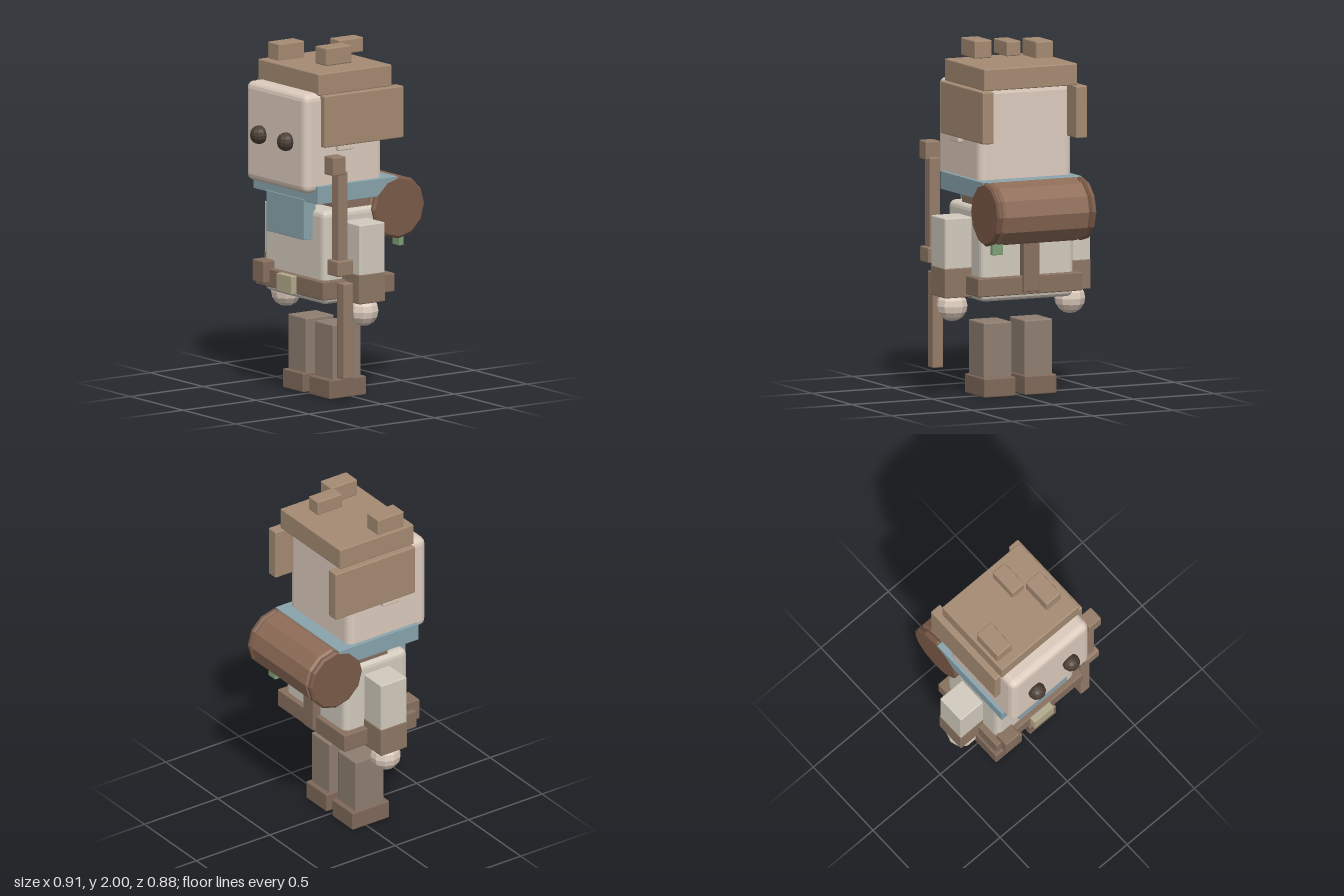
import * as THREE from 'three';
import { RoundedBoxGeometry } from 'three/addons/geometries/RoundedBoxGeometry.js';

const COLORS = {
  skin: 0xdccbbd, hair: 0xa58b73, eye: 0x4a3d33, shirt: 0xd2cabd, scarf: 0x89a4ad,
  cuff: 0x8d7764, leather: 0x87705f, buckle: 0xb3aa8c, leg: 0x8f7e70, boot: 0x7f695a,
  wood: 0x957c69, roll: 0x8e6c57, rollEnd: 0x7a5a47, leaf: 0x7f9f78,
};

function material(color, flat = true) {
  return new THREE.MeshStandardMaterial({ color: COLORS[color], flatShading: flat });
}

export function createModel() {
  const model = new THREE.Group();
  model.name = 'blockyTraveller';

  function add(name, geometry, color, x, y, z) {
    const mesh = new THREE.Mesh(geometry, material(color));
    mesh.name = name;
    mesh.position.set(x, y, z);
    model.add(mesh);
    return mesh;
  }

  // Bevelled box given by its extents along x, y and z
  function box(name, color, [x0, x1], [y0, y1], [z0, z1], bevel = 0.006) {
    const geometry = new RoundedBoxGeometry(x1 - x0, y1 - y0, z1 - z0, bevel > 0.01 ? 2 : 1, bevel);
    return add(name, geometry, color, (x0 + x1) / 2, (y0 + y1) / 2, (z0 + z1) / 2);
  }

  // The same box on both sides of the body
  function pair(name, color, [x0, x1], y, z) {
    box('left' + name, color, [x0, x1], y, z);
    box('right' + name, color, [-x1, -x0], y, z);
  }

  // Head, hair and ears
  box('head', 'skin', [-0.287, 0.287], [1.19, 1.752], [-0.165, 0.368], 0.04);
  box('hairCap', 'hair', [-0.288, 0.288], [1.74, 1.863], [-0.225, 0.277]);
  pair('SideHair', 'hair', [0.255, 0.324], [1.45, 1.742], [-0.28, 0.262]);
  pair('Ear', 'skin', [0.27, 0.315], [1.42, 1.53], [0.05, 0.16]);
  box('hairTuftBack', 'hair', [0.026, 0.115], [1.917, 2], [-0.155, 0.012]);
  box('hairTuftLeft', 'hair', [0.126, 0.232], [1.89, 1.99], [0.008, 0.185]);
  box('hairTuftRight', 'hair', [-0.272, -0.166], [1.855, 1.957], [0.045, 0.222]);

  // Torso, neck strap and scarf
  box('torso', 'shirt', [-0.287, 0.287], [0.55, 1.08], [-0.19, 0.24], 0.035);
  box('neck', 'leather', [-0.26, 0.26], [1.06, 1.14], [-0.09, 0.12]);
  box('scarfCollar', 'scarf', [-0.306, 0.306], [1.13, 1.232], [-0.245, 0.296], 0.003);
  box('scarfBib', 'scarf', [-0.178, 0.178], [0.91, 1.14], [0.22, 0.3], 0.003);

  // Belt, buckle, pouch and back strap
  box('belt', 'leather', [-0.323, 0.323], [0.585, 0.69], [-0.22, 0.272]);
  box('buckle', 'buckle', [-0.072, 0.072], [0.587, 0.688], [0.25, 0.308], 0.003);
  box('pouch', 'leather', [-0.29, -0.184], [0.61, 0.735], [0.23, 0.315]);
  box('backStrap', 'leather', [-0.05, 0.05], [0.6, 1.05], [-0.24, -0.17]);

  // Arms, legs and boots
  pair('Sleeve', 'shirt', [0.27, 0.45], [0.72, 1.015], [-0.06, 0.115]);
  pair('Cuff', 'cuff', [0.268, 0.452], [0.567, 0.735], [-0.063, 0.118]);
  pair('Leg', 'leg', [0.04, 0.213], [0.09, 0.415], [-0.066, 0.126]);
  pair('Boot', 'boot', [0.028, 0.224], [0, 0.107], [-0.095, 0.156]);

  // Faceted eyes and hands
  for (const [side, s] of [['left', 1], ['right', -1]]) {
    add(side + 'Eye', new THREE.SphereGeometry(0.052, 10, 8), 'eye', s * 0.127, 1.47, 0.387);
    add(side + 'Hand', new THREE.SphereGeometry(0.088, 10, 8), 'skin', s * 0.365, 0.513, 0.028);
  }

  // Bedroll with bevelled end discs, turned around the x axis
  const bedroll = new THREE.Group();
  bedroll.name = 'bedroll';
  bedroll.position.set(0, 1.054, -0.262);
  bedroll.rotation.z = -Math.PI / 2;
  function turned(name, color, points, y) {
    const profile = points.map(([r, h]) => new THREE.Vector2(r, h));
    const mesh = new THREE.Mesh(new THREE.LatheGeometry(profile, 12), material(color));
    mesh.name = name;
    mesh.position.y = y;
    bedroll.add(mesh);
  }
  turned('rolledBlanket', 'roll',
    [[0, -0.275], [0.155, -0.275], [0.177, -0.255], [0.177, 0.255], [0.155, 0.275], [0, 0.275]], 0);
  for (const s of [1, -1]) {
    turned('bedrollEnd', 'rollEnd',
      [[0, -0.018], [0.165, -0.018], [0.178, -0.008], [0.178, 0.008], [0.165, 0.018], [0, 0.018]], s * 0.289);
  }
  model.add(bedroll);
  box('hangingLeaf', 'leaf', [0.215, 0.28], [0.83, 0.93], [-0.312, -0.28], 0.003);

  // Walking staff beside the left hand
  box('staffLower', 'wood', [0.361, 0.428], [0.15, 0.69], [0.14, 0.207]);
  box('staffUpper', 'wood', [0.361, 0.428], [0.8, 1.325], [0.177, 0.243]);
  box('staffGrip', 'wood', [0.344, 0.448], [0.738, 0.825], [0.155, 0.262]);
  box('staffTop', 'wood', [0.352, 0.44], [1.31, 1.415], [0.2, 0.288]);

  return model;
}
